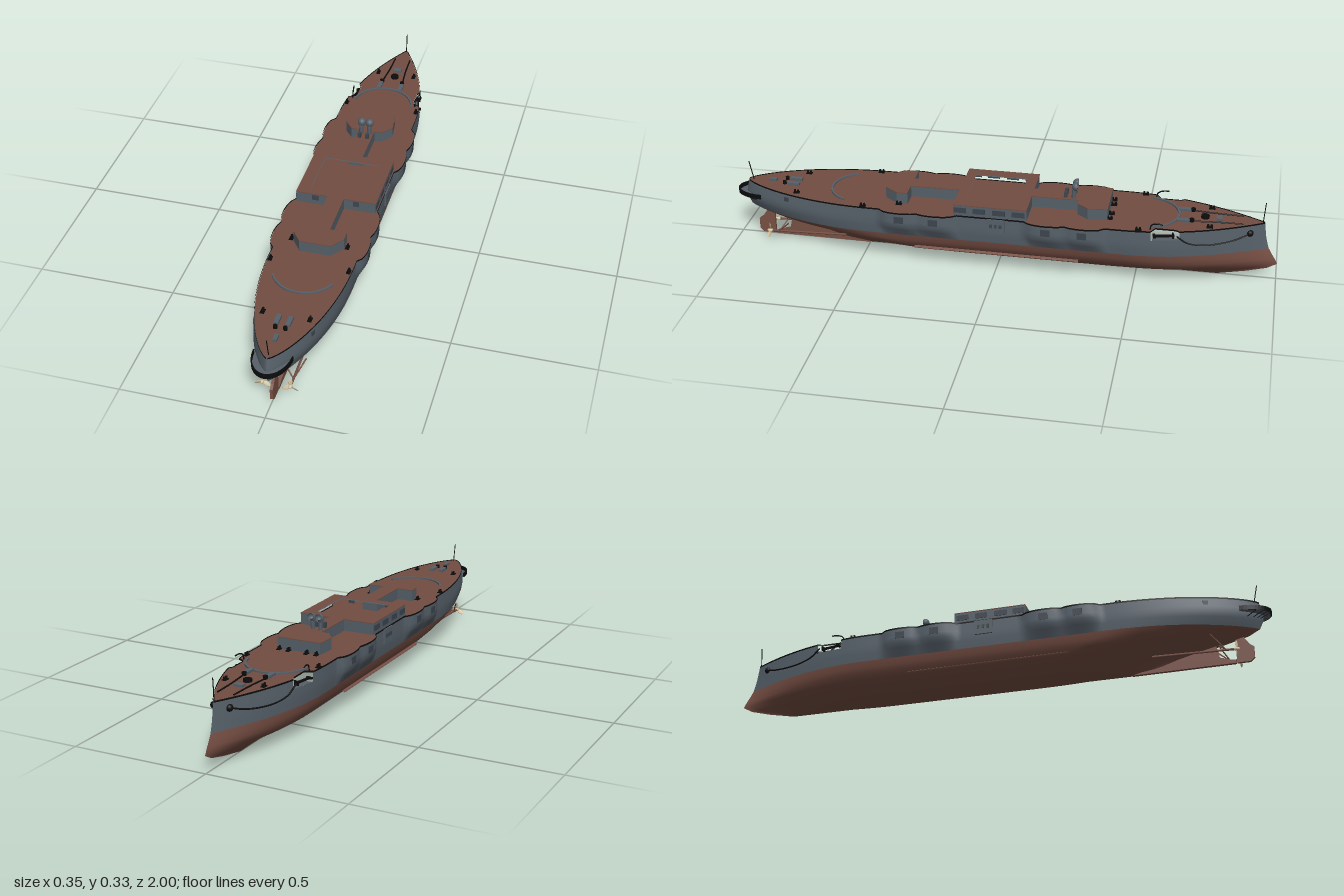
import * as THREE from 'three';

const mat = (name, color, side = THREE.FrontSide) => {
  const m = new THREE.MeshStandardMaterial({ color, side });
  m.name = name;
  return m;
};

// Waterlines: height, half beam, bow z, stern z, bow fineness, stern fineness, sponson share
const LINES = [
  [0.222, 0.147, -0.945, 0.958, 1, 0.75, 1],
  [0.187, 0.148, -0.950, 0.968, 1, 0.72, 1],
  [0.168, 0.148, -0.953, 0.970, 1, 0.72, 0.95],
  [0.150, 0.147, -0.957, 0.968, 1.02, 0.75, 0.5],
  [0.122, 0.143, -0.965, 0.955, 1.05, 0.85, 0],
  [0.100, 0.137, -0.977, 0.915, 1.1, 1.0, 0],
  [0.080, 0.127, -0.990, 0.840, 1.2, 1.1, 0],
  [0.060, 0.111, -1.000, 0.760, 1.3, 1.2, 0],
  [0.040, 0.086, -0.965, 0.690, 1.3, 1.2, 0],
  [0.020, 0.053, -0.890, 0.640, 1.3, 1.2, 0],
  [0.000, 0.000, -0.790, 0.580, 1, 1, 0],
];
const N = 160, NOTCH = [41, 48];
const DECK = 0.222, ROOF = 0.265;
const fill = (d) => 1 - (1 - Math.min(1, Math.max(0, d) / 0.5)) ** 2;
const bulge = (z) => Math.max(...[-0.315, -0.185, 0.22, 0.345].map(
  (c) => 0.024 * Math.sqrt(Math.max(0, 1 - ((z - c) / 0.075) ** 2))));
const beam = ([, b, bow, stern, pb, ps, s], z) =>
  b * fill(z - bow) ** pb * fill(stern - z) ** ps + s * bulge(z);
const station = (line, k) => line[2] + (line[3] - line[2]) * (1 - Math.cos(Math.PI * k / N)) / 2;
const waterline = (line, side) => Array.from({ length: N + 1 }, (_, k) => {
  const z = station(line, k);
  return [side * beam(line, z), line[0], z];
});

// Surface through rows of points, with optional skipped cells
function skin(rows, skip = () => false) {
  const n = rows[0].length, index = [];
  for (let i = 0; i < rows.length - 1; i++) for (let j = 0; j < n - 1; j++) {
    if (skip(i, j)) continue;
    const a = i * n + j, c = a + n;
    index.push(a, a + 1, c, a + 1, c + 1, c);
  }
  const g = new THREE.BufferGeometry();
  g.setAttribute('position', new THREE.Float32BufferAttribute(rows.flat(2), 3));
  g.setIndex(index);
  g.computeVertexNormals();
  return g;
}

// Plan outline in x, z extruded upward
function slab(points, height, hole) {
  const v = (p) => p.map(([x, z]) => new THREE.Vector2(x, -z));
  const s = new THREE.Shape(v(points));
  if (hole) s.holes.push(new THREE.Path(v(hole)));
  return new THREE.ExtrudeGeometry(s, { depth: height, bevelEnabled: false }).rotateX(-Math.PI / 2);
}
const rect = (x, z0, z1) => [[-x, z0], [x, z0], [x, z1], [-x, z1]];
const mirrored = (half) => [...half, ...half.map(([x, z]) => [-x, z]).reverse()];

export function createModel() {
  const ship = new THREE.Group();
  ship.name = 'warship';
  const grey = mat('hull grey', 0x566069);
  const greyThin = mat('thin plate grey', 0x566069, THREE.DoubleSide);
  const red = mat('bottom red', 0x774f44);
  const wood = mat('deck brown', 0x724d42);
  const black = mat('fittings black', 0x0c0c0d, THREE.DoubleSide);
  const dark = mat('port dark grey', 0x3d454e);
  const brass = mat('propeller bronze', 0xd9c5a0, THREE.DoubleSide);

  const add = (name, geo, m, x = 0, y = 0, z = 0) => {
    const mesh = new THREE.Mesh(geo, m);
    mesh.name = name;
    mesh.position.set(x, y, z);
    ship.add(mesh);
    return mesh;
  };
  const box = (name, m, w, h, d, x, y, z) => add(name, new THREE.BoxGeometry(w, h, d), m, x, y, z);
  const rod = (name, m, pts, r) => {
    const curve = new THREE.CatmullRomCurve3(pts.map((p) => new THREE.Vector3(...p)));
    return add(name, new THREE.TubeGeometry(curve, pts.length > 2 ? 32 : 1, r, 6), m);
  };

  // Hull: grey topsides with anchor notches, red bottom in one piece
  const top = LINES.slice(0, 5), low = LINES.slice(4);
  const inNotch = (j) => j >= NOTCH[0] && j < NOTCH[1];
  add('leftTopside', skin(top.map((l) => waterline(l, 1)), (i, j) => i === 0 && inNotch(j)), grey);
  add('rightTopside', skin(top.map((l) => waterline(l, -1)).reverse(), (i, j) => i === 3 && inNotch(j)), grey);
  add('hullBottom', skin([...low.map((l) => waterline(l, 1)),
    ...low.slice(0, -1).reverse().map((l) => waterline(l, -1))]), red);

  // Deck and its dark edge
  const edge = (side) => waterline(LINES[0], side).map(([x, y, z], k) =>
    [k > NOTCH[0] && k < NOTCH[1] ? side * Math.min(Math.abs(x), 0.113) : x, y, z]);
  add('deck', skin([edge(-1), edge(1)]), wood);
  for (const s of [-1, 1]) {
    const rim = (y) => edge(s).map(([x, , z]) => [x + s * 0.002, y, z]);
    add('deckEdge', skin([rim(0.2245), rim(0.2185)]), black);
  }

  // Superstructure: walls with deck-coloured roofs
  const house = (name, pts, hole) => {
    add(name, slab(pts, ROOF - DECK - 0.003, hole), grey, 0, DECK, 0);
    add(name + 'Roof', slab(pts, 0.003, hole), wood, 0, ROOF - 0.003, 0).scale.x = 1.01;
  };
  house('centralHouse', rect(0.145, -0.115, 0.15), rect(0.1, -0.075, 0.115));
  house('forwardPassage', rect(0.03, -0.29, -0.115));
  house('aftPassage', rect(0.03, 0.15, 0.335));
  house('forwardHouse', mirrored([[0.082, -0.395], [0.09, -0.325], [0.058, -0.285]]));
  house('aftHouse', mirrored([[0.09, 0.33], [0.09, 0.37], [0.055, 0.418]]));
  for (const s of [-1, 1]) {
    for (const z of [0.125, 0.057, -0.015, -0.085])
      box('houseWindow', dark, 0.004, 0.02, 0.045, s * 0.145, 0.244, z);
    box('aftHouseWindow', dark, 0.022, 0.02, 0.004, s * 0.075, 0.25, 0.15);
  }

  // Cowl ventilators facing the bow
  for (const s of [-1, 1]) {
    const x = s * 0.015;
    rod('ventPipe', grey, [[x, 0.222, -0.265], [x, 0.28, -0.265], [x, 0.3, -0.267], [x, 0.31, -0.274]], 0.0085);
    const cowl = add('ventCowl', new THREE.SphereGeometry(0.0155, 20, 10, 0, Math.PI * 2, 0, Math.PI * 0.6),
      greyThin, x, 0.31, -0.272);
    cowl.rotation.x = Math.PI / 2;
    box('ventBase', dark, 0.012, 0.02, 0.012, x, 0.275, -0.235);
  }

  // Curved ledges around the two empty turret rings
  const ledge = (z, a0, a1) => {
    const s = new THREE.Shape();
    s.absarc(0, 0, 0.116, a0, a1, false);
    s.absarc(0, 0, 0.109, a1, a0, true);
    const g = new THREE.ExtrudeGeometry(s, { depth: 0.006, bevelEnabled: false, curveSegments: 32 });
    add('turretLedge', g.rotateX(-Math.PI / 2), grey, 0, DECK, z);
  };
  ledge(-0.53, 0.1, Math.PI - 0.1);
  ledge(0.52, Math.PI + 0.4, Math.PI * 2 - 0.4);

  // Side fittings, mirrored
  for (const s of [-1, 1]) {
    box('midGunBay', grey, 0.016, 0.053, 0.066, s * 0.146, 0.194, -0.005);
    for (const z of [-0.022, -0.005, 0.012]) box('midGunPort', dark, 0.003, 0.014, 0.01, s * 0.1545, 0.195, z);
    for (const z of [-0.315, -0.185, 0.22, 0.345])
      box('sponsonPort', dark, 0.004, 0.026, 0.034, s * 0.1705, 0.195, z);
    box('sternWindow', dark, 0.004, 0.016, 0.018, s * 0.1, 0.201, 0.785).rotation.y = -s * 0.36;
    box('bilgeKeel', red, 0.016, 0.003, 0.6, s * 0.121, 0.069, 0).rotation.z = -s * 0.5;

    // Anchor shelf, anchor and davit
    add('anchorShelf', slab([[0.108, -0.655], [0.12, -0.655], [0.139, -0.56], [0.108, -0.56]]
      .map(([x, z]) => [s * x, z]), 0.002), greyThin, 0, 0.185, 0);
    const anchor = new THREE.Group();
    anchor.name = 'anchor';
    for (const [w, h, d, z] of [[0.007, 0.007, 0.075, 0], [0.024, 0.006, 0.009, 0.034], [0.018, 0.016, 0.005, -0.032]]) {
      const m = new THREE.Mesh(new THREE.BoxGeometry(w, h, d), black);
      m.position.z = z;
      anchor.add(m);
    }
    anchor.position.set(s * 0.128, 0.203, -0.6);
    anchor.rotation.y = s * 0.2;
    ship.add(anchor);
    rod('anchorDavit', black, [[s * 0.125, 0.222, -0.55], [s * 0.125, 0.24, -0.555],
      [s * 0.128, 0.248, -0.575], [s * 0.131, 0.247, -0.595]], 0.0025);

    // Hawse opening and hanging chain
    const hullX = (y, z) => s * (beam(LINES[y > 0.178 ? 1 : 2], z) + 0.002);
    rod('anchorChain', black, [[-0.895, 0.19], [-0.85, 0.175], [-0.79, 0.166], [-0.73, 0.166], [-0.68, 0.178], [-0.645, 0.205]]
      .map(([z, y]) => [hullX(y, z), y, z]), 0.003);
    add('hawseOpening', new THREE.SphereGeometry(0.013, 14, 10), black, hullX(0.19, -0.895) - s * 0.005, 0.19, -0.895);

    // Deck chains, bollards and hatches
    rod('deckChain', black, [[s * 0.03, 0.225, -0.87], [s * 0.033, 0.225, -0.78], [s * 0.042, 0.225, -0.68]], 0.003);
    box('forwardHatch', grey, 0.016, 0.009, 0.045, s * 0.042, 0.2265, -0.66);
    box('aftHatch', grey, 0.016, 0.01, 0.045, s * 0.02, 0.227, 0.78);
    add('capstan', new THREE.CylinderGeometry(0.009, 0.007, 0.012, 12), black, s * 0.04, 0.228, -0.69);
    add('aftCapstan', new THREE.CylinderGeometry(0.007, 0.007, 0.012, 12), black, s * 0.017, 0.228, 0.815);
    for (const [x, z] of [[0.072, -0.755], [0.08, 0.75], [0.138, -0.51], [0.138, 0.485], [0.1, 0.36], [0.035, -0.405], [0.072, -0.402]]) {
      box('bollardBase', black, 0.014, 0.003, 0.022, s * x, 0.2235, z);
      for (const dz of [-0.006, 0.006])
        add('bollard', new THREE.CylinderGeometry(0.004, 0.004, 0.011, 8), black, s * x, 0.2285, z + dz);
    }

    // Propellers with shafts and brackets
    const px = s * 0.048, py = 0.036;
    rod('propellerShaft', red, [[px, py, 0.875], [s * 0.045, 0.045, 0.58]], 0.004);
    rod('shaftBracket', red, [[px, py, 0.84], [s * 0.078, 0.09, 0.79]], 0.0025);
    rod('shaftBracket', red, [[px, py, 0.84], [s * 0.006, 0.075, 0.81]], 0.0025);
    const prop = new THREE.Group();
    prop.name = 'propeller';
    const hub = new THREE.Mesh(new THREE.SphereGeometry(0.0065, 12, 8), brass);
    hub.scale.z = 1.8;
    prop.add(hub);
    for (let i = 0; i < 3; i++) {
      const blade = new THREE.Mesh(new THREE.SphereGeometry(1, 14, 8).scale(0.0075, 0.014, 0.0015)
        .rotateY(s * 0.5).translate(0, 0.017, 0), brass);
      blade.rotation.z = i * Math.PI * 2 / 3;
      prop.add(blade);
    }
    prop.position.set(px, py, 0.875);
    ship.add(prop);
  }
  add('windlass', new THREE.CylinderGeometry(0.015, 0.015, 0.01, 18), black, 0, 0.227, -0.735);
  box('bowHatch', grey, 0.03, 0.008, 0.02, 0, 0.226, -0.785);
  box('sternSkylight', grey, 0.014, 0.01, 0.03, 0, 0.227, 0.865);

  // Rudder and deadwood, cut from the side profile
  const fin = (name, pts, w) => {
    const s = new THREE.Shape(pts.map(([z, y]) => new THREE.Vector2(-z, y)));
    const g = new THREE.ExtrudeGeometry(s, { depth: w, bevelEnabled: false });
    add(name, g.translate(0, 0, -w / 2).rotateY(Math.PI / 2), red);
  };
  fin('rudder', [[0.868, 0.004], [0.915, 0.004], [0.93, 0.018], [0.93, 0.058], [0.915, 0.07], [0.895, 0.1], [0.868, 0.1]], 0.01);
  fin('deadwood', [[0.5, 0.001], [0.866, 0.003], [0.866, 0.012], [0.81, 0.03], [0.8, 0.075], [0.65, 0.04]], 0.012);

  // Stern gallery with railing and brackets
  const arc = (rx, rz) => Array.from({ length: 25 }, (_, i) => {
    const a = Math.PI * i / 24;
    return [rx * Math.cos(a), 0.895 + rz * Math.sin(a)];
  });
  add('galleryFloor', slab(arc(0.066, 0.103), 0.002), greyThin, 0, 0.173, 0);
  add('galleryRail', slab([...arc(0.067, 0.105), ...arc(0.063, 0.1).reverse()], 0.017), black, 0, 0.173, 0);
  for (let i = -4; i <= 4; i++) if (i) {
    const x = i * 0.0135, z = 0.895 + 0.1 * Math.sqrt(1 - (x / 0.067) ** 2);
    rod('galleryBracket', black, [[x, 0.174, z], [x * 0.8, 0.157, z - 0.035]], 0.0015);
  }

  // Flagstaffs
  rod('bowStaff', black, [[0, 0.22, -0.938], [0, 0.3, -0.943]], 0.0018);
  rod('sternStaff', black, [[0, 0.22, 0.94], [0, 0.293, 0.955]], 0.0018);
  return ship;
}
